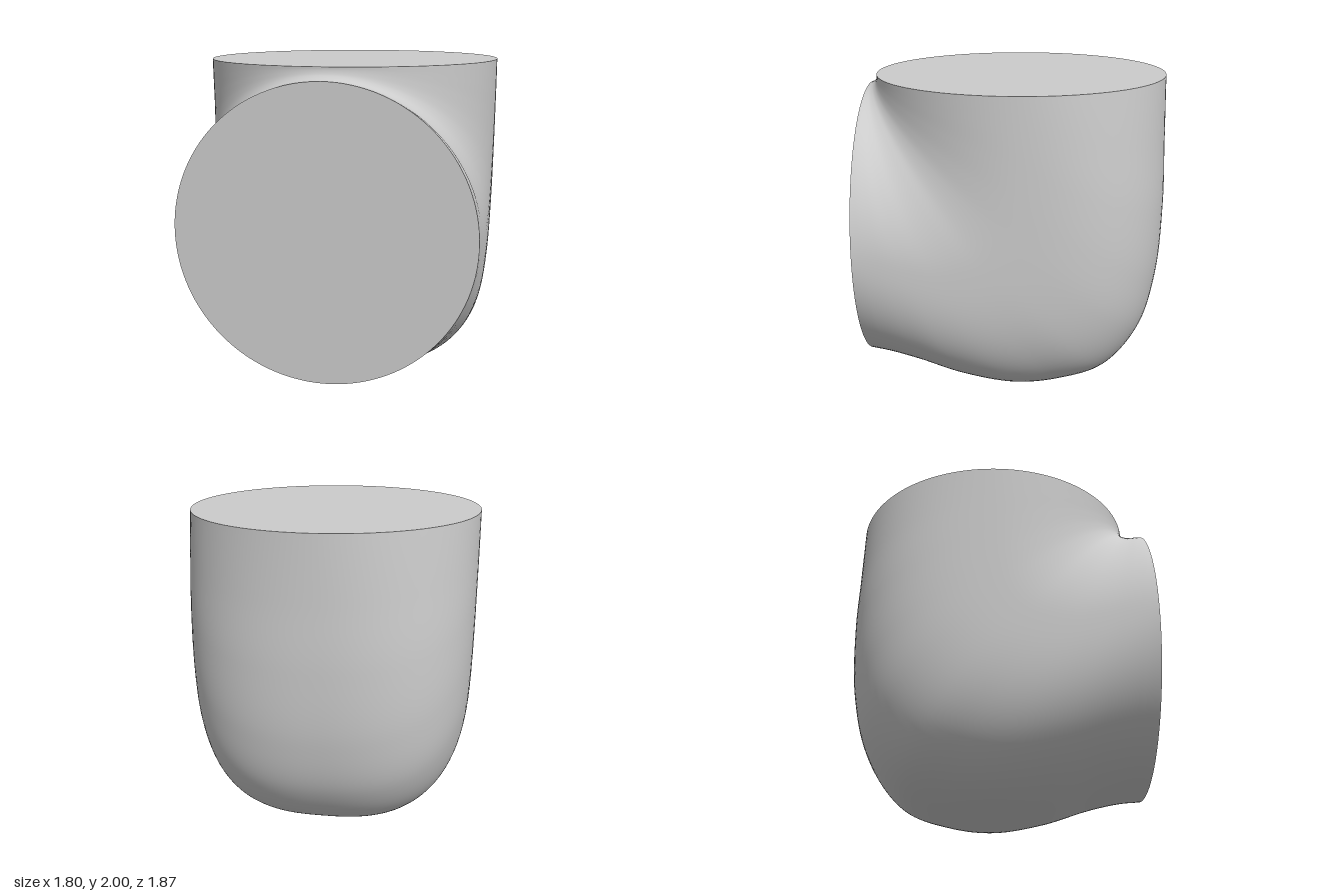
import * as THREE from 'three';

const RINGS = 110, SIDES = 128;
const material = new THREE.MeshStandardMaterial({ color: 0xcccccc });

// Smooth curve in the plane of symmetry, from [z, y] pairs
const curve = (pts) => new THREE.CatmullRomCurve3(pts.map(([z, y]) => new THREE.Vector3(0, y, z)));

// Outside and inside of the bend, from the top opening round to the front one
const outer = curve([[-0.92, 2], [-0.925, 1.6], [-0.93, 1.2], [-0.9, 0.75], [-0.805, 0.4], [-0.6, 0.14],
  [-0.32, 0.035], [-0.03, 0], [0.3, 0.05], [0.6, 0.138], [0.8, 0.174], [0.935, 0.175]]);
const inner = curve([[0.88, 2], [0.88, 1.985], [0.883, 1.97], [0.888, 1.958], [0.894, 1.95], [0.902, 1.942],
  [0.91, 1.936], [0.917, 1.932], [0.923, 1.929], [0.929, 1.926], [0.932, 1.925], [0.935, 1.925]]);

// Elbow skin: rings spanning inner to outer curve, fuller on the outside mid-bend
function elbowGeometry() {
  const positions = [], index = [];
  for (let i = 0; i <= RINGS; i++) {
    const t = i / RINGS;
    const a = inner.getPoint(t), b = outer.getPoint(t);
    const mid = a.clone().add(b).multiplyScalar(0.5);
    const half = b.clone().sub(a).multiplyScalar(0.5);
    const width = THREE.MathUtils.lerp(0.9, 0.876, THREE.MathUtils.smoothstep(t, 0, 1));
    const fullness = 2 + 0.75 * Math.sin(Math.PI * t);
    for (let j = 0; j < SIDES; j++) {
      const angle = (j / SIDES) * Math.PI * 2;
      const c = Math.cos(angle), s = Math.sin(angle);
      const n = s > 0 ? fullness : 2;
      const r = (Math.abs(c) ** n + Math.abs(s) ** n) ** (-1 / n);
      const p = mid.clone().addScaledVector(half, r * s);
      positions.push(width * r * c, p.y, p.z);
      if (i < RINGS) {
        const k = (j + 1) % SIDES, row = i * SIDES, next = row + SIDES;
        index.push(row + j, next + j, row + k, row + k, next + j, next + k);
      }
    }
  }
  const geometry = new THREE.BufferGeometry();
  geometry.setAttribute('position', new THREE.Float32BufferAttribute(positions, 3));
  geometry.setIndex(index);
  geometry.computeVertexNormals();
  return geometry;
}

export function createModel() {
  const group = new THREE.Group();
  group.name = 'pipeElbow';
  const add = (name, geometry) => {
    const mesh = new THREE.Mesh(geometry, material);
    mesh.name = name;
    group.add(mesh);
    return mesh;
  };

  add('elbowBody', elbowGeometry());

  // Flat end faces
  const topFace = add('topFace', new THREE.CircleGeometry(0.9, SIDES));
  topFace.rotation.x = -Math.PI / 2;
  topFace.position.set(0, 2, -0.02);

  const frontFace = add('frontFace', new THREE.CircleGeometry(0.876, SIDES));
  frontFace.position.set(0, 1.05, 0.935);

  return group;
}
